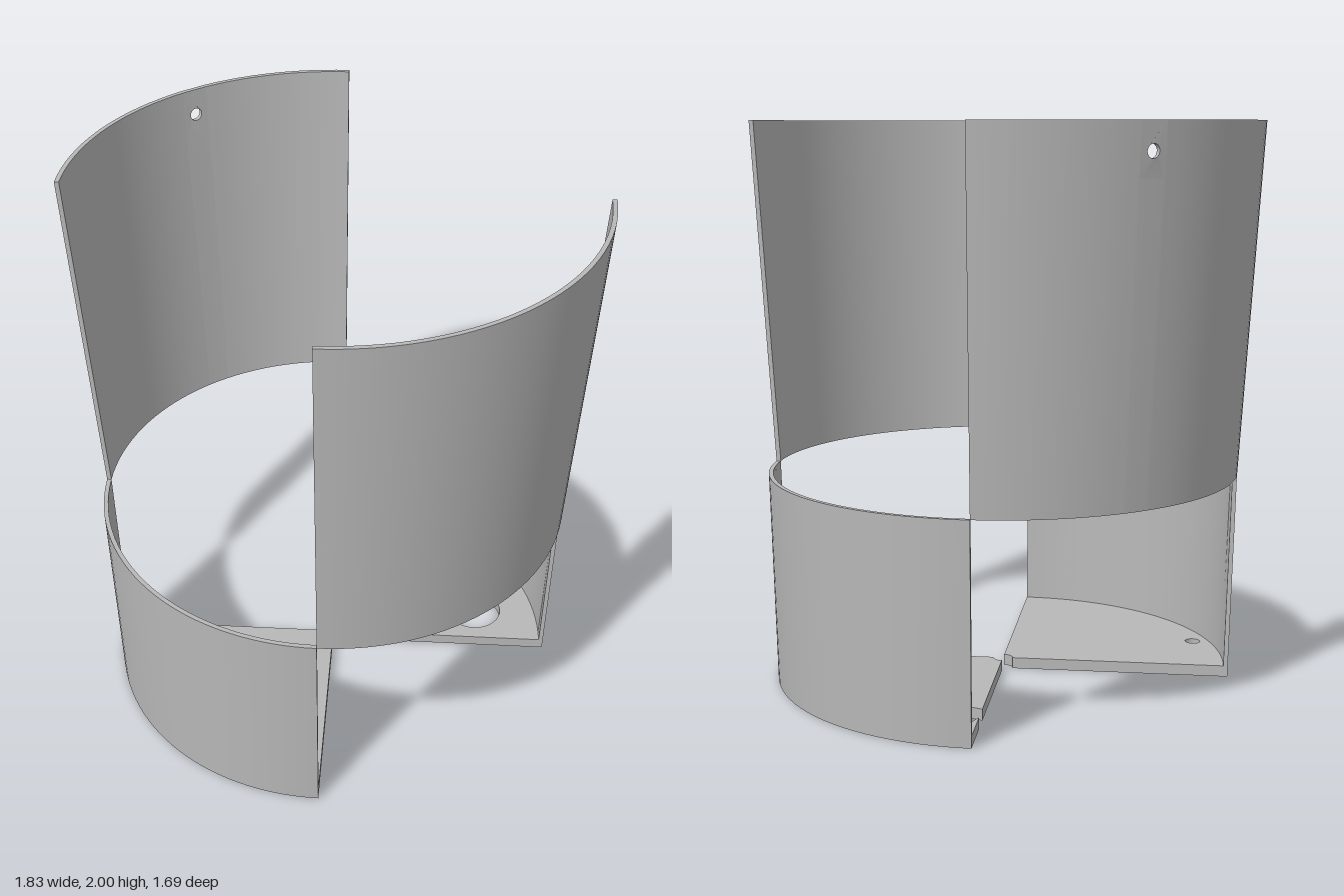
import * as THREE from 'three';
import { toCreasedNormals } from 'three/addons/utils/BufferGeometryUtils.js';

const rad = THREE.MathUtils.degToRad;
const T = 0.016;               // wall thickness
const STEP = 0.76, TOP = 2;    // height where the lower and upper shells meet, rim height
const FLOOR = 0.04;
const HUB = 0.035;             // half-width of the opening at the centre of the floor

// Outer radius of the two tapered shells
const lowerRadius = y => THREE.MathUtils.lerp(0.823, 0.842, y / STEP);
const upperRadius = y => THREE.MathUtils.lerp(0.842, 0.917, (y - STEP) / (TOP - STEP));

// Wrap a flat slab (x = angle in degrees, y = height, z = 0..T) round the y axis
function bend(geo, radius) {
  const p = geo.attributes.position;
  for (let i = 0; i < p.count; i++) {
    const a = rad(p.getX(i)), y = p.getY(i), r = radius(y) - T + p.getZ(i);
    p.setXYZ(i, Math.sin(a) * r, y, Math.cos(a) * r);
  }
  geo.computeVertexNormals();
  return geo;
}

function wallGeometry(a0, a1, y0, y1, radius) {
  const geo = new THREE.BoxGeometry(a1 - a0, y1 - y0, T, Math.ceil((a1 - a0) / 3), 1, 1);
  geo.translate((a0 + a1) / 2, (y0 + y1) / 2, T / 2);
  return bend(geo, radius);
}

// Small piece of wall pierced by a round hole
function piercedGeometry(a0, a1, y0, y1, holeY, holeR, radius) {
  const mid = (a0 + a1) / 2, holeA = THREE.MathUtils.radToDeg(holeR / radius(holeY));
  const shape = new THREE.Shape([
    new THREE.Vector2(a0, y0), new THREE.Vector2(a1, y0),
    new THREE.Vector2(a1, y1), new THREE.Vector2(a0, y1),
  ]);
  const hole = new THREE.Path();
  hole.absellipse(mid, holeY, holeA, holeR, 0, Math.PI * 2, true);
  shape.holes.push(hole);
  const geo = new THREE.ExtrudeGeometry(shape, { depth: T, bevelEnabled: false, curveSegments: 20 });
  return toCreasedNormals(bend(geo, radius), rad(30));
}

// Quarter of the floor; shape y points to the back. notch = extra points on the closing edge
function floorGeometry(a0, holes, notch = []) {
  const R = 0.812, s = rad(a0 - 90), e = s + Math.PI / 2;
  const shape = new THREE.Shape();
  shape.moveTo(Math.cos(s) * HUB, Math.sin(s) * HUB);
  shape.lineTo(Math.cos(s) * R, Math.sin(s) * R);
  shape.absarc(0, 0, R, s, e, false);
  notch.forEach(([x, y]) => shape.lineTo(x, y));
  shape.lineTo(Math.cos(e) * HUB, Math.sin(e) * HUB);
  shape.absarc(0, 0, HUB, e, s, true);
  for (const [x, y, r] of holes) {
    const hole = new THREE.Path();
    hole.absarc(x, y, r, 0, Math.PI * 2, true);
    shape.holes.push(hole);
  }
  const geo = new THREE.ExtrudeGeometry(shape, { depth: FLOOR, bevelEnabled: false, curveSegments: 30 });
  geo.rotateX(-Math.PI / 2);
  return toCreasedNormals(geo, rad(30));
}

export function createModel() {
  const model = new THREE.Group();
  model.name = 'splitCup';
  const grey = new THREE.MeshStandardMaterial({ color: 0xb8b8b8 });
  grey.name = 'grey plastic';
  const add = (name, geo, parent = model) => {
    const mesh = new THREE.Mesh(geo, grey);
    mesh.name = name;
    parent.add(mesh);
  };

  // Lower quarter shells, front and back
  add('frontLowerWall', wallGeometry(-67.5, 22.5, 0, STEP, lowerRadius));
  add('backLowerWall', wallGeometry(112.5, 202.5, 0, STEP, lowerRadius));

  // Floor quarters: the back one has a slot running out through its edge
  add('frontFloor', floorGeometry(-67.5, [[-0.53, -0.53, 0.028]]));
  const slotL = -0.245, slotR = 0.24, slotNear = 0.52, slotFar = 0.64;
  const slope = Math.tan(rad(22.5));
  add('backFloor', floorGeometry(112.5, [[0.45, 0.358, 0.105], [0.53, 0.535, 0.028]], [
    [slotL, -slotL / slope], [slotL, slotFar], [slotR, slotFar],
    [slotR, slotNear], [-slotNear * slope, slotNear],
  ]));

  // Upper quarter shells, left and right
  add('leftUpperWall', wallGeometry(22.5, 112.5, STEP, TOP, upperRadius));

  // Right shell is built round the pierced piece near its rim
  const right = new THREE.Group();
  right.name = 'rightUpperWall';
  model.add(right);
  const h0 = 237, h1 = 243, hy = 1.82;
  add('rightWallBack', wallGeometry(202.5, h0, STEP, TOP, upperRadius), right);
  add('rightWallFront', wallGeometry(h1, 292.5, STEP, TOP, upperRadius), right);
  add('rightWallBelowHole', wallGeometry(h0, h1, STEP, hy, upperRadius), right);
  add('rightWallHolePiece', piercedGeometry(h0, h1, hy, TOP, 1.905, 0.023, upperRadius), right);

  return model;
}
